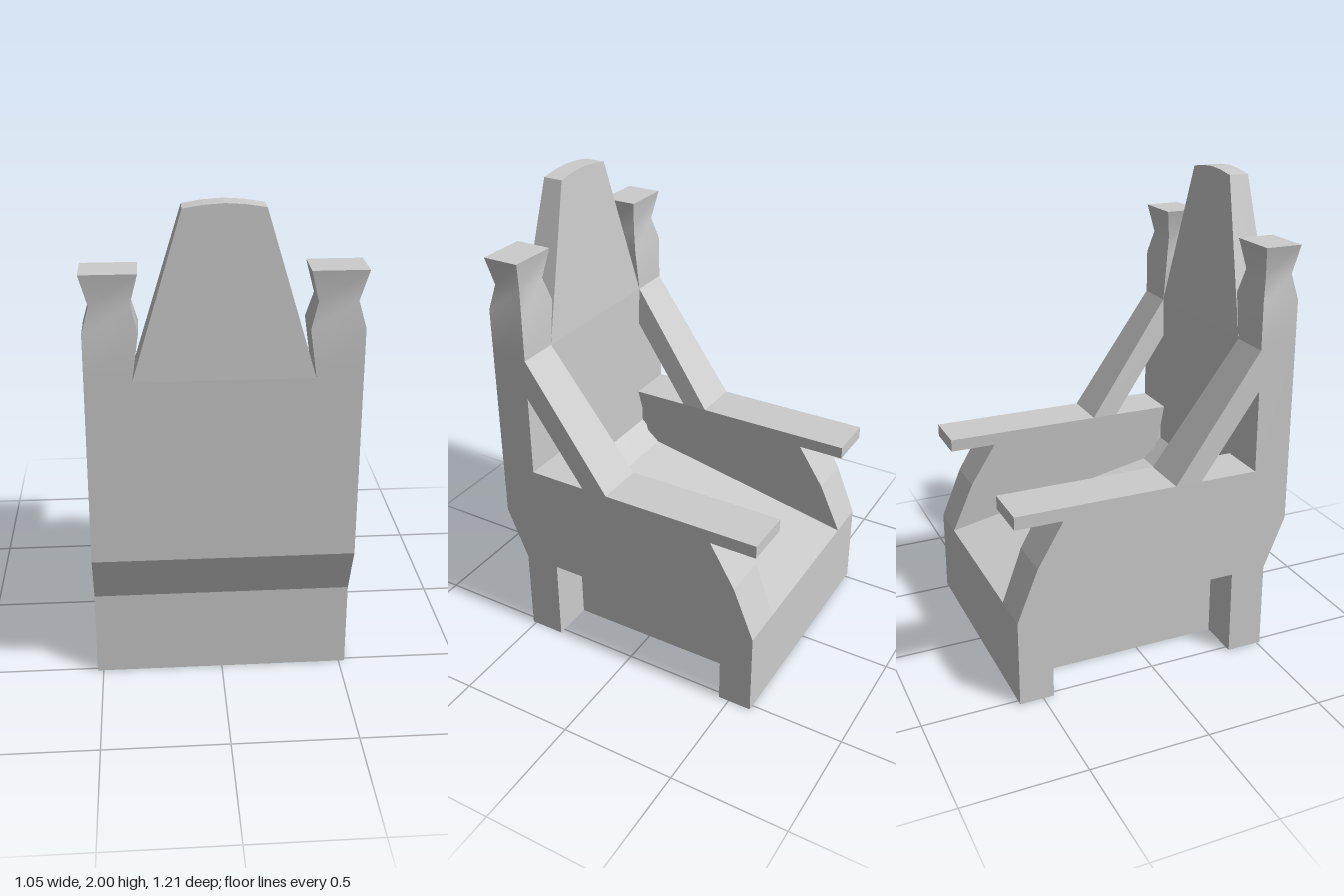
import * as THREE from 'three';

const lerp = THREE.MathUtils.lerp;
const material = new THREE.MeshStandardMaterial({ color: 0xcccccc });

const toShape = (points) => new THREE.Shape(points.map(([a, b]) => new THREE.Vector2(a, b)));

// Moves every vertex by a rule and rebuilds the normals
function reshape(geometry, rule) {
  const pos = geometry.attributes.position;
  for (let i = 0; i < pos.count; i++) {
    pos.setXYZ(i, ...rule(pos.getX(i), pos.getY(i), pos.getZ(i)));
  }
  geometry.computeVertexNormals();
  return geometry;
}

const unitExtrude = (shape) => new THREE.ExtrudeGeometry(shape, { depth: 1, bevelEnabled: false });

// Half-widths of the side panels at a given height
const outerX = (y) => 0.525 - 0.006 * y;
const innerX = (y) => {
  if (y <= 0.37) return 0.345;
  if (y <= 0.83) return lerp(0.345, 0.31, (y - 0.37) / 0.46);
  return lerp(0.31, 0.34, (y - 0.83) / 0.52);
};

function mesh(name, geometry) {
  const m = new THREE.Mesh(geometry, material);
  m.name = name;
  return m;
}

// Base, sloped seat and backrest as one (z, y) profile across the middle
function seatBody() {
  const profile = toShape([
    [-0.6, 0], [-0.6, 0.37], [0.355, 0.57], [0.45, 0.66], [0.45, 1.35],
    [0.608, 1.35], [0.608, 0.59], [0.515, 0.37], [0.515, 0],
  ]);
  return mesh('seatBody', reshape(unitExtrude(profile), (z, y, t) => [0.345 - 0.69 * t, y, z]));
}

// Side panel: feet, armrest, and diagonal brace with a triangular window
function sidePanel(side) {
  const profile = toShape([
    [-0.6, 0], [-0.6, 0.37], [-0.51, 0.59], [-0.4, 0.775], [-0.6, 0.775], [-0.6, 0.83],
    [0.085, 0.83], [0.45, 1.35], [0.608, 1.35], [0.608, 0.59], [0.515, 0.37],
    [0.515, 0], [0.36, 0], [0.36, 0.37], [-0.455, 0.37], [-0.455, 0],
  ]);
  profile.holes.push(toShape([[0.2, 0.83], [0.45, 0.83], [0.45, 1.18]]));
  const rule = (z, y, t) => {
    const k = side > 0 ? t : 1 - t;
    return [side * lerp(outerX(y), innerX(y), k), y, z];
  };
  return mesh(side > 0 ? 'leftSidePanel' : 'rightSidePanel', reshape(unitExtrude(profile), rule));
}

// Post top with a narrow neck and flared cap: [y, inner x, outer x, front z, back z]
function postFinial(side) {
  const rings = [
    [1.35, 0.34, 0.517, 0.45, 0.608],
    [1.54, 0.313, 0.516, 0.45, 0.608],
    [1.64, 0.34, 0.488, 0.472, 0.59],
    [1.76, 0.31, 0.52, 0.45, 0.606],
  ];
  const rule = (x, y, z) => {
    const [height, inner, outer, front, back] = rings[Math.round((y + 0.5) * 3)];
    return [x * side > 0 ? side * outer : side * inner, height, z > 0 ? back : front];
  };
  const geometry = new THREE.BoxGeometry(1, 1, 1, 1, 3, 1);
  return mesh(side > 0 ? 'leftPostFinial' : 'rightPostFinial', reshape(geometry, rule));
}

// Tapered crest with a shallow curved top
function crest() {
  const outline = toShape([
    [-0.34, 1.35], [0.34, 1.35], [0.15, 1.983], [0.075, 1.995],
    [0, 2], [-0.075, 1.995], [-0.15, 1.983],
  ]);
  const rule = (x, y, t) => {
    const k = Math.min((y - 1.35) / 0.633, 1);
    return [x, y, lerp(lerp(0.45, 0.49, k), lerp(0.608, 0.575, k), t)];
  };
  return mesh('crest', reshape(unitExtrude(outline), rule));
}

export function createModel() {
  const chair = new THREE.Group();
  chair.name = 'throne';
  chair.add(seatBody(), crest());
  for (const side of [-1, 1]) chair.add(sidePanel(side), postFinial(side));
  return chair;
}
